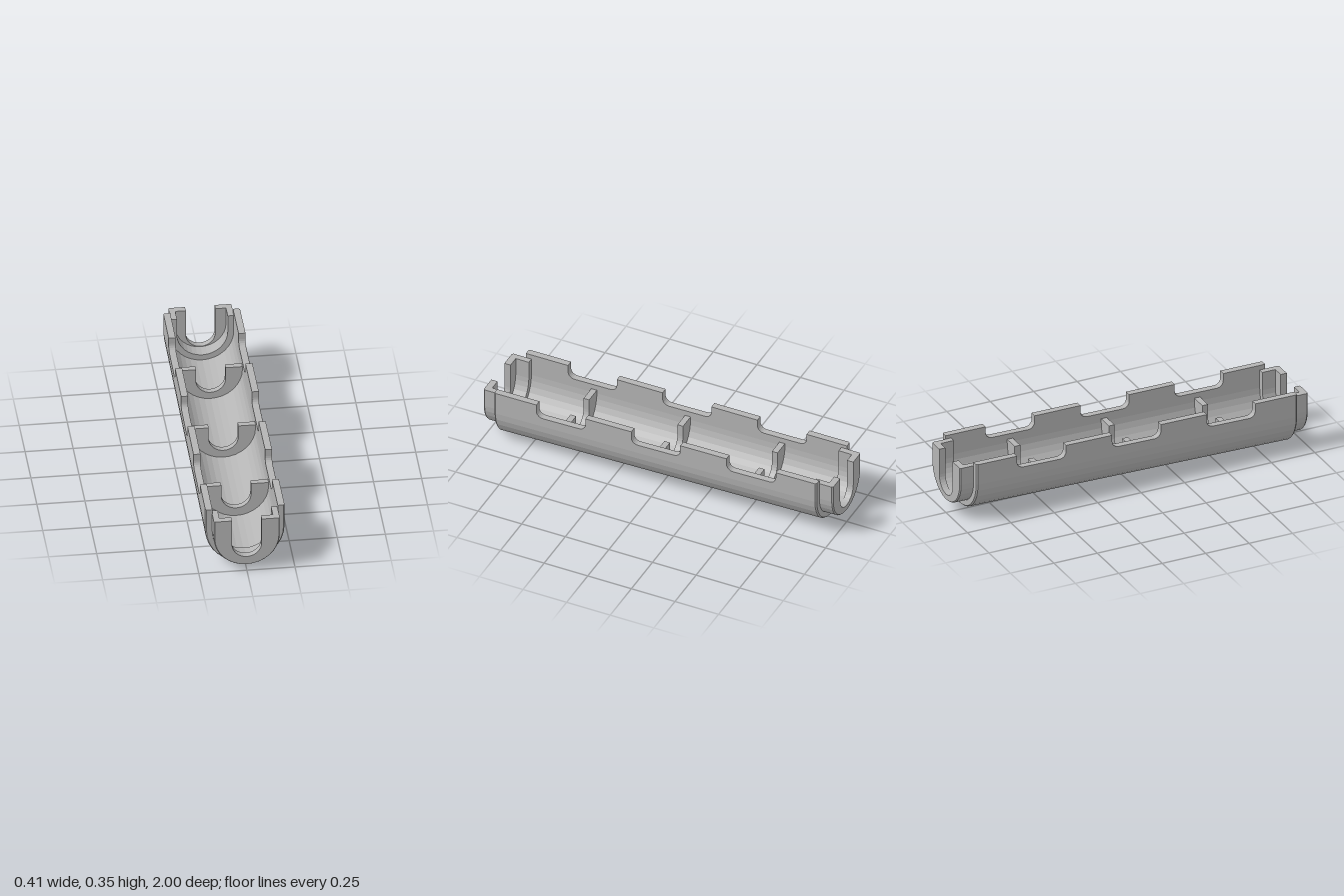
import * as THREE from 'three';

const ARC = 16; // facets in each half-round bottom

// Dimensions that drift along the tapered channel
const radius = z => 0.2025 + 0.0038 * z;
const centreY = z => 0.2235 - 0.016 * z;
const tabTop = z => 0.3468 - 0.009 * z;
const notchFloor = z => 0.273 - 0.0135 * z;
const slotY = z => 0.176 - 0.0115 * z;
const collarTop = z => 0.3235 - 0.0115 * z;
const WALL = 0.036, SLOT = 0.077;

// One side of a U outline, running from +x top round the bottom to -x top
function uLine(r, cy, top) {
  const pts = [[r, top]];
  for (let i = 0; i <= ARC; i++) {
    const a = Math.PI * i / ARC;
    pts.push([r * Math.cos(a), cy - r * Math.sin(a)]);
  }
  pts.push([-r, top]);
  return pts;
}

// Closed U cross-section at z
function section(z, top, ro, ri, cyo = centreY(z), cyi = cyo) {
  return { z, pts: [...uLine(ro, cyo, top), ...uLine(ri, cyi, top).reverse()] };
}

// Skin a list of sections ordered front to back, with end caps
function loft(name, sections, material) {
  const pos = [], idx = [], n = sections[0].pts.length, half = n / 2;
  sections.forEach(s => s.pts.forEach(p => pos.push(p[0], p[1], s.z)));
  const quad = (a, b, c, d) => idx.push(a, b, d, b, c, d);
  for (let s = 0; s < sections.length - 1; s++) {
    for (let i = 0; i < n; i++) {
      const j = (i + 1) % n, o = s * n;
      quad(o + i, o + j, o + n + j, o + n + i);
    }
  }
  const last = (sections.length - 1) * n;
  for (let i = 0; i < half - 1; i++) {
    const k = n - 1 - i;
    quad(i, k, k - 1, i + 1);
    quad(last + i, last + i + 1, last + k - 1, last + k);
  }
  const geo = new THREE.BufferGeometry();
  geo.setAttribute('position', new THREE.Float32BufferAttribute(pos, 3));
  geo.setIndex(idx);
  const flat = geo.toNonIndexed();
  flat.computeVertexNormals();
  const mesh = new THREE.Mesh(flat, material);
  mesh.name = name;
  return mesh;
}

export function createModel() {
  const group = new THREE.Group();
  group.name = 'notchedChannel';
  const grey = new THREE.MeshStandardMaterial({ color: 0xb4b4b4, flatShading: true });
  grey.name = 'plainGrey';

  // Channel wall with rounded notches cut in both rims
  const body = [];
  const add = (z, top, inset = 0) =>
    body.push(section(z, top, radius(z) - inset, radius(z) - WALL));
  add(0.922, tabTop(0.922), 0.006);
  add(0.914, tabTop(0.914));
  const f = 0.036;
  for (const [z0, z1] of [[0.68, 0.4], [0.137, -0.143], [-0.408, -0.69]]) {
    add(z0, tabTop(z0));
    for (let i = 0; i <= 5; i++) {
      const a = Math.PI / 2 * i / 5;
      add(z0 - f * (1 - Math.cos(a)), notchFloor(z0) + f * (1 - Math.sin(a)));
    }
    for (let i = 5; i >= 0; i--) {
      const a = Math.PI / 2 * i / 5;
      add(z1 + f * (1 - Math.cos(a)), notchFloor(z1) + f * (1 - Math.sin(a)));
    }
    add(z1, tabTop(z1));
  }
  add(-0.914, tabTop(-0.914));
  add(-0.922, tabTop(-0.922), 0.006);
  group.add(loft('channelWall', body, grey));

  // Inner ribs with a rounded slot
  for (const z of [0.53, -0.008, -0.55]) {
    const rib = [z + 0.016, z - 0.016].map(q =>
      section(q, notchFloor(z) - 0.03, radius(q) - WALL + 0.002, SLOT, centreY(q), slotY(q)));
    group.add(loft('innerRib', rib, grey));
  }

  // Stepped collar and slotted end plate at each end
  for (const s of [1, -1]) {
    const outer = z => radius(z) - WALL + 0.001;
    const order = list => (s > 0 ? list : list.reverse());
    const top = collarTop(s);
    const sleeve = [0.965, 0.89].map(d =>
      section(s * d, top, outer(s * d), outer(s * d) - 0.032));
    const plate = [[1, 0.005], [0.993, 0], [0.965, 0]].map(([d, inset]) =>
      section(s * d, top, outer(s * d) - inset, SLOT, centreY(s * d), slotY(s * d)));
    const end = s > 0 ? 'front' : 'back';
    group.add(loft(end + 'Collar', order(sleeve), grey));
    group.add(loft(end + 'EndPlate', order(plate), grey));
  }
  return group;
}
